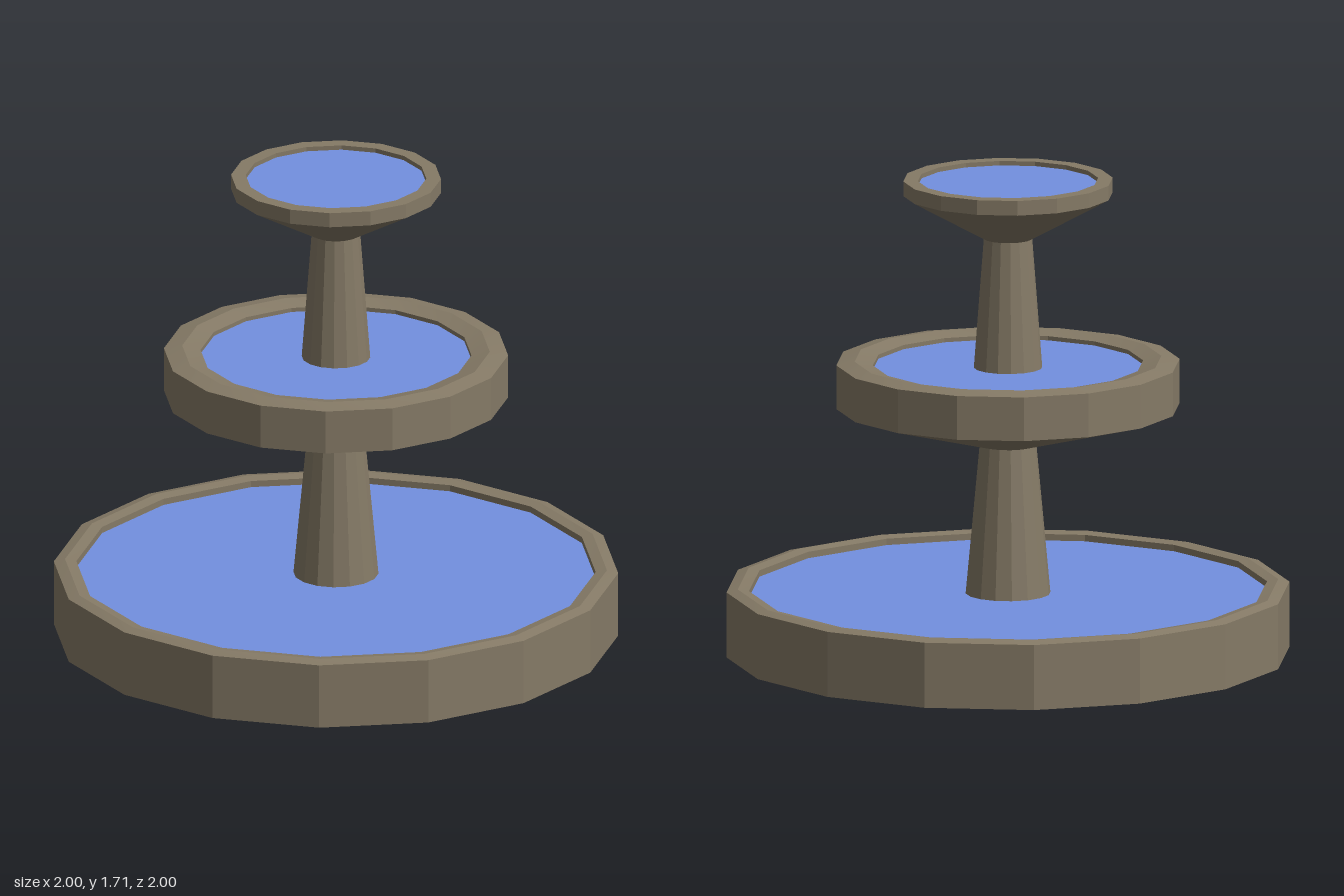
import * as THREE from 'three';
import { toCreasedNormals } from 'three/addons/utils/BufferGeometryUtils.js';

const SIDES = 16;
const stone = new THREE.MeshStandardMaterial({ color: 0x857a66 });
const water = new THREE.MeshStandardMaterial({ color: 0x7390e0 });

// Faceted ring of stone turned from a profile of [radius, height] pairs
function turned(name, profile) {
  const points = profile.map(([r, y]) => new THREE.Vector2(r, y));
  const geometry = toCreasedNormals(new THREE.LatheGeometry(points, SIDES), 0.35);
  const mesh = new THREE.Mesh(geometry, stone);
  mesh.name = name;
  return mesh;
}

// Flat water surface with its corners in line with the basin
function pool(name, radius, y) {
  const geometry = new THREE.CircleGeometry(radius, SIDES).rotateX(-Math.PI / 2);
  const mesh = new THREE.Mesh(geometry, water);
  mesh.name = name;
  mesh.position.y = y;
  return mesh;
}

export function createModel() {
  const fountain = new THREE.Group();
  fountain.name = 'tieredFountain';
  fountain.add(
    // Ground basin: closed floor, straight wall, softly bevelled rim
    turned('groundBasin', [
      [0, 0], [1, 0], [1, 0.235], [0.96, 0.245], [0.92, 0.238], [0.92, 0.2],
    ]),
    pool('groundWater', 0.925, 0.215),
    turned('lowerColumn', [[0.152, 0.2], [0.1, 0.76]]),

    // Middle basin: shallow cone beneath a wide rim
    turned('middleBasin', [
      [0, 0.75], [0.1, 0.75], [0.61, 0.89], [0.61, 1.048],
      [0.545, 1.06], [0.48, 1.045], [0.48, 1.01],
    ]),
    pool('middleWater', 0.485, 1.03),
    turned('upperColumn', [[0.123, 1.01], [0.085, 1.51]]),

    // Top bowl: steep cone with a thin flat rim
    turned('topBowl', [
      [0, 1.495], [0.085, 1.495], [0.372, 1.655], [0.372, 1.708],
      [0.32, 1.708], [0.32, 1.675],
    ]),
    pool('topWater', 0.322, 1.692),
  );
  return fountain;
}
